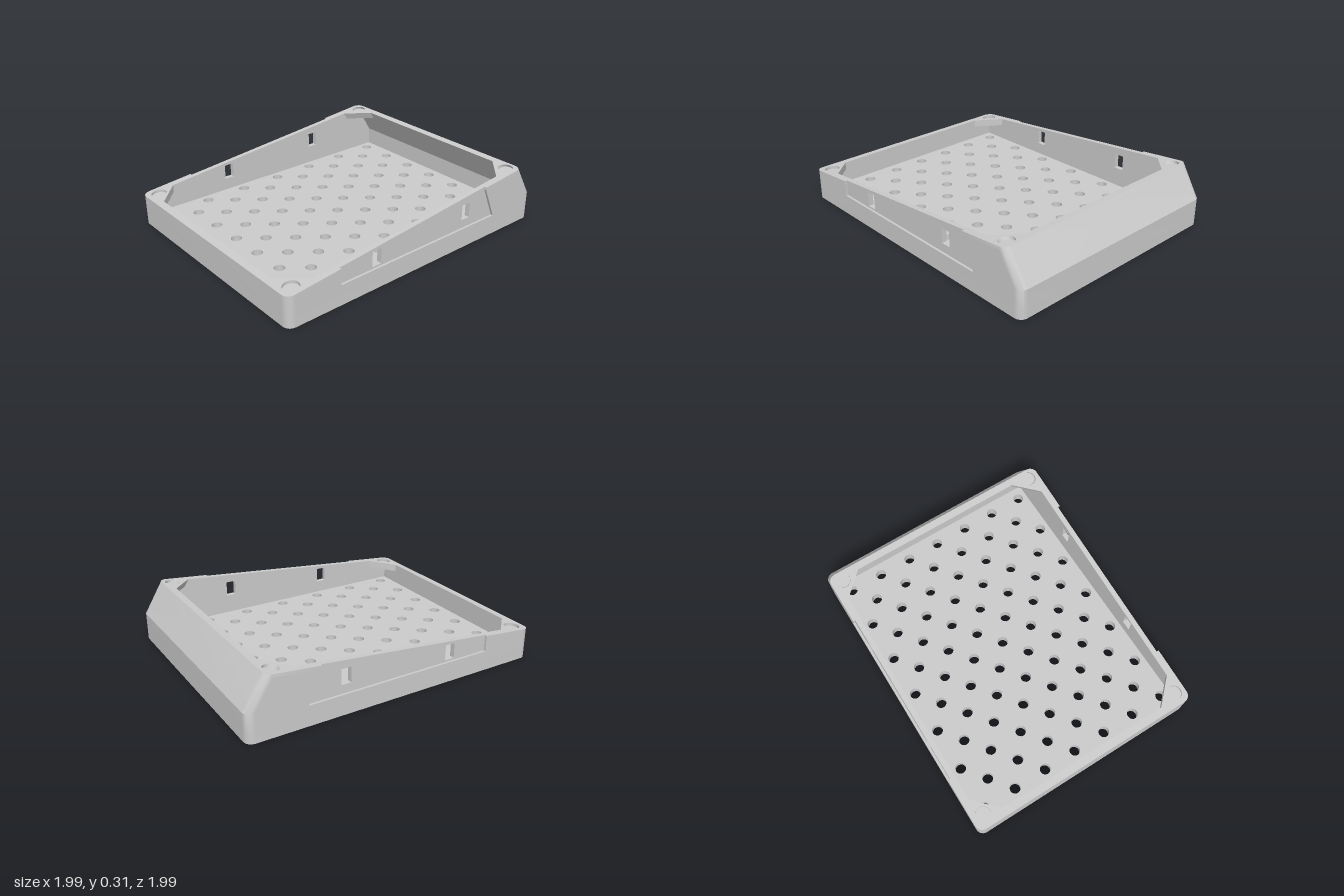
import * as THREE from 'three';
import { toCreasedNormals } from 'three/addons/utils/BufferGeometryUtils.js';

const W = 0.633, L = 0.8, T = 0.04;      // half width, half length, wall thickness
const BEND = 0.145, LEAN = 0.606;        // back leans inward above this height
const FLOOR = 0.05, RIM = 0.015, RECESS = 0.012;
const SIDE_IN = 0.594;                   // inner face of the side walls
const material = new THREE.MeshStandardMaterial({ color: 0xcccccc });

// Height rules: a flat level, or a depth below the sloping top plane
const flat = y => () => y;
const below = d => z => z < -0.6
  ? (0.24 - d - 0.1 * z + 0.1 * LEAN * BEND) / (1 + 0.1 * LEAN)
  : 0.24 - d - 0.1 * z;
const shift = (z, y) => (z < -0.6 ? Math.max(0, y - BEND) * LEAN : 0);

const polygon = pts => new THREE.Shape(pts.map(p => new THREE.Vector2(p[0], p[1])));

function circle(x, y, r) {
  return new THREE.Path().absarc(x, y, r, 0, Math.PI * 2, true);
}

function mesh(name, geometry) {
  const m = new THREE.Mesh(toCreasedNormals(geometry, 0.5), material);
  m.name = name;
  return m;
}

// Raises a plan outline (x, -z) through a list of height rules
function loft(name, shape, levels) {
  const n = levels.length - 1;
  const g = new THREE.ExtrudeGeometry(shape, { depth: n, steps: n, bevelEnabled: false, curveSegments: 8 });
  const p = g.attributes.position;
  for (let i = 0; i < p.count; i++) {
    const z = -p.getY(i);
    const y = levels[Math.round(p.getZ(i))](z);
    p.setXYZ(i, p.getX(i), y, z + shift(z, y));
  }
  return mesh(name, g);
}

// Rounded plan outline, optionally with the side recesses notched out
function outline(notched) {
  const s = new THREE.Shape();
  s.absarc(W - T, L - T, T, 0, Math.PI / 2);
  s.absarc(-W + T, L - T, T, Math.PI / 2, Math.PI);
  if (notched) [[-W, 0.43], [-W + RECESS, 0.43], [-W + RECESS, -0.51], [-W, -0.51]].forEach(p => s.lineTo(...p));
  s.absarc(-W + T, -L + T, T, Math.PI, Math.PI * 1.5);
  s.absarc(W - T, -L + T, T, Math.PI * 1.5, Math.PI * 2);
  if (notched) [[W, -0.51], [W - RECESS, -0.51], [W - RECESS, 0.43], [W, 0.43]].forEach(p => s.lineTo(...p));
  s.closePath();
  return s;
}

// Side profile drawn as (-z, y) and extruded across x
function sidePanel(name, shape, x, depth) {
  const g = new THREE.ExtrudeGeometry(shape, { depth, bevelEnabled: false });
  g.rotateY(Math.PI / 2).translate(x, 0, 0);
  return mesh(name, g);
}

export function createModel() {
  const group = new THREE.Group();
  const tray = new THREE.Group();
  tray.name = 'tray';
  tray.rotation.y = -Math.PI / 4;
  group.add(tray);

  // Floor with staggered drain holes
  const floor = outline(false);
  for (let j = -6; j <= 6; j++)
    for (let i = -6; i <= 6; i++)
      if ((i + j) % 2 === 0) floor.holes.push(circle(i * 0.0905, j * 0.116, 0.028));
  tray.add(loft('perforatedFloor', floor, [flat(0), flat(FLOOR)]));

  // Front and back walls with rounded outer corners
  const front = new THREE.Shape();
  front.moveTo(-W, -L + T);
  front.absarc(-W + T, -L + T, T, Math.PI, Math.PI * 1.5);
  front.absarc(W - T, -L + T, T, Math.PI * 1.5, Math.PI * 2);
  front.closePath();
  tray.add(loft('frontWall', front, [flat(FLOOR), below(RIM)]));
  const back = new THREE.Shape();
  back.moveTo(W, L - T);
  back.absarc(W - T, L - T, T, 0, Math.PI / 2);
  back.absarc(-W + T, L - T, T, Math.PI / 2, Math.PI);
  back.closePath();
  tray.add(loft('backWall', back, [flat(FLOOR), flat(BEND), below(RIM)]));

  // Side walls: a windowed inner skin and an outer skin around the recess
  const e = L - T, top = below(RIM);
  const yBack = top(-e), uBack = e - shift(-e, yBack);
  const base = [[-e, FLOOR], [e, FLOOR], [e, BEND], [uBack, yBack]];
  const end = [-e, top(e)];
  const inner = polygon([...base, end]);
  for (const [u, y] of [[-0.29, 0.115], [0.3, 0.15]]) {
    const h = 0.0265;
    inner.holes.push(polygon([[u - h, y], [u - h, y + 0.08], [u + h, y + 0.08], [u + h, y]]));
  }
  const outer = polygon([...base, [0.43, top(-0.43)], [0.5, 0.105], [-0.51, 0.105], [-0.51, top(0.51)], end]);
  const skin = W - RECESS - SIDE_IN;
  tray.add(sidePanel('leftWall', inner, SIDE_IN, skin));
  tray.add(sidePanel('rightWall', inner, -SIDE_IN - skin, skin));
  tray.add(sidePanel('leftRecessFrame', outer, W - RECESS, RECESS));
  tray.add(sidePanel('rightRecessFrame', outer, -W, RECESS));

  // Rim with a chamfered opening and round corner pockets
  const c = 0.12, a = SIDE_IN;
  const rim = outline(true);
  rim.holes.push(polygon([[a, e - c], [a, -e + c], [a - c, -e], [-a + c, -e],
    [-a, -e + c], [-a, e - c], [-a + c, e], [a - c, e]]));
  for (const sx of [-1, 1])
    for (const y of [-0.735, 0.745]) rim.holes.push(circle(sx * 0.572, y, 0.04));
  tray.add(loft('rim', rim, [below(RIM), below(0)]));

  // Corner gussets under the pockets
  for (const sx of [-1, 1])
    for (const sy of [-1, 1]) {
      const tri = polygon([[sx * a, sy * e], [sx * a, sy * (e - c)], [sx * (a - c), sy * e]]);
      tray.add(loft('cornerGusset', tri, [below(0.04), below(RIM)]));
    }
  return group;
}
